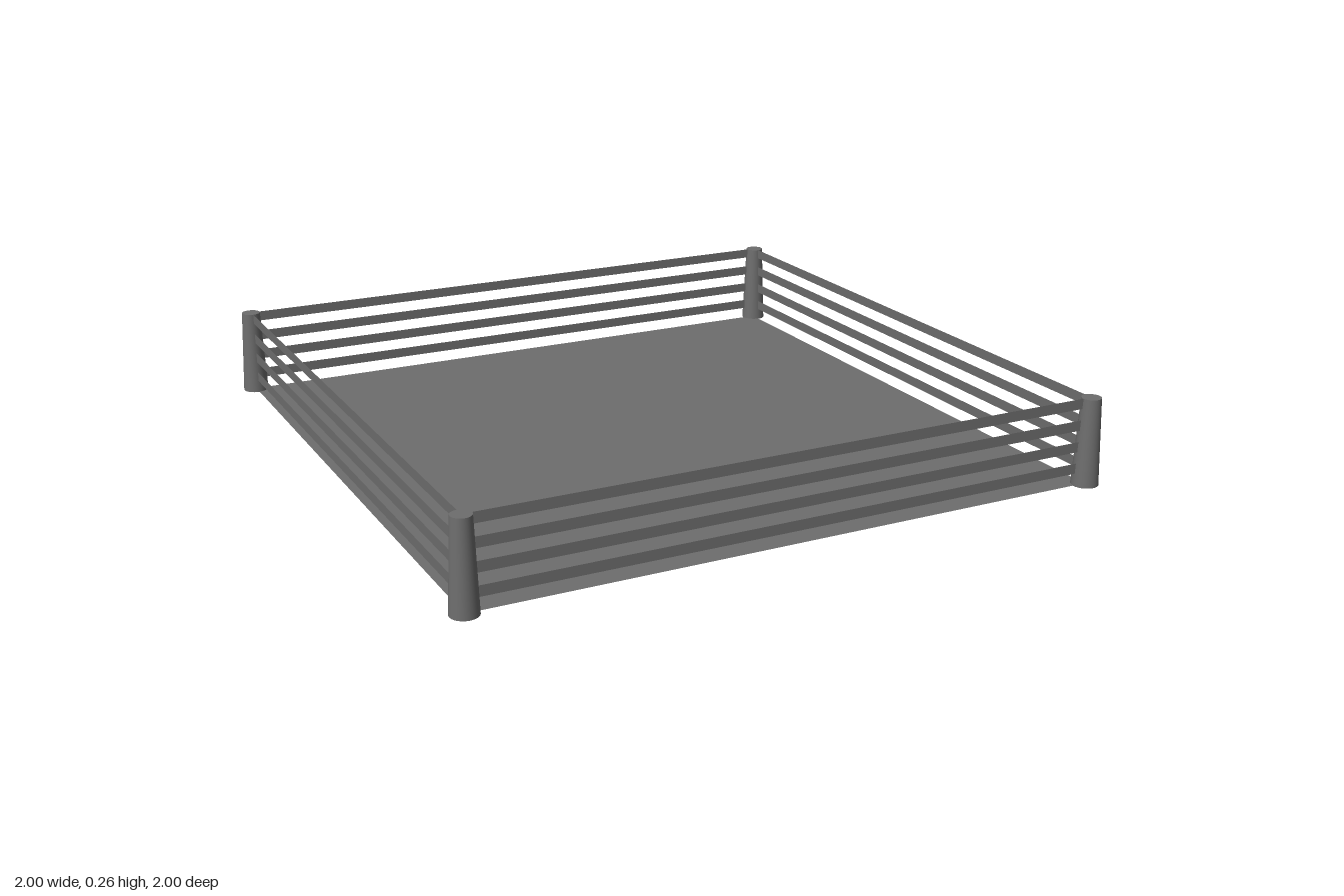
import * as THREE from 'three';

const HALF = 0.96; // distance from the centre to each post axis
const HEIGHT = 0.265;

export function createModel() {
  const model = new THREE.Group();
  const grey = new THREE.MeshStandardMaterial({ color: 0x6e6e6e, side: THREE.DoubleSide });
  grey.name = 'grey';

  const add = (name, geometry, parent = model) => {
    const mesh = new THREE.Mesh(geometry, grey);
    mesh.name = name;
    parent.add(mesh);
    return mesh;
  };

  // Flat square floor, level with the feet of the posts
  add('floor', new THREE.PlaneGeometry(2 * HALF, 2 * HALF).rotateX(-Math.PI / 2)).position.y = 0.001;

  // Tapered corner posts
  const postGeometry = new THREE.CylinderGeometry(0.029, 0.04, HEIGHT, 32);
  for (const x of [-HALF, HALF]) {
    for (const z of [-HALF, HALF]) {
      add('cornerPost', postGeometry).position.set(x, HEIGHT / 2, z);
    }
  }

  // Four flat rails on each side
  const railGeometry = new THREE.PlaneGeometry(2 * HALF, 0.031);
  ['front', 'left', 'back', 'right'].forEach((side, i) => {
    const fence = new THREE.Group();
    fence.name = side + 'Rails';
    fence.rotation.y = (i * Math.PI) / 2;
    for (let k = 0; k < 4; k++) {
      add('rail', railGeometry, fence).position.set(0, 0.053 + k * 0.0655, HALF);
    }
    model.add(fence);
  });

  return model;
}
